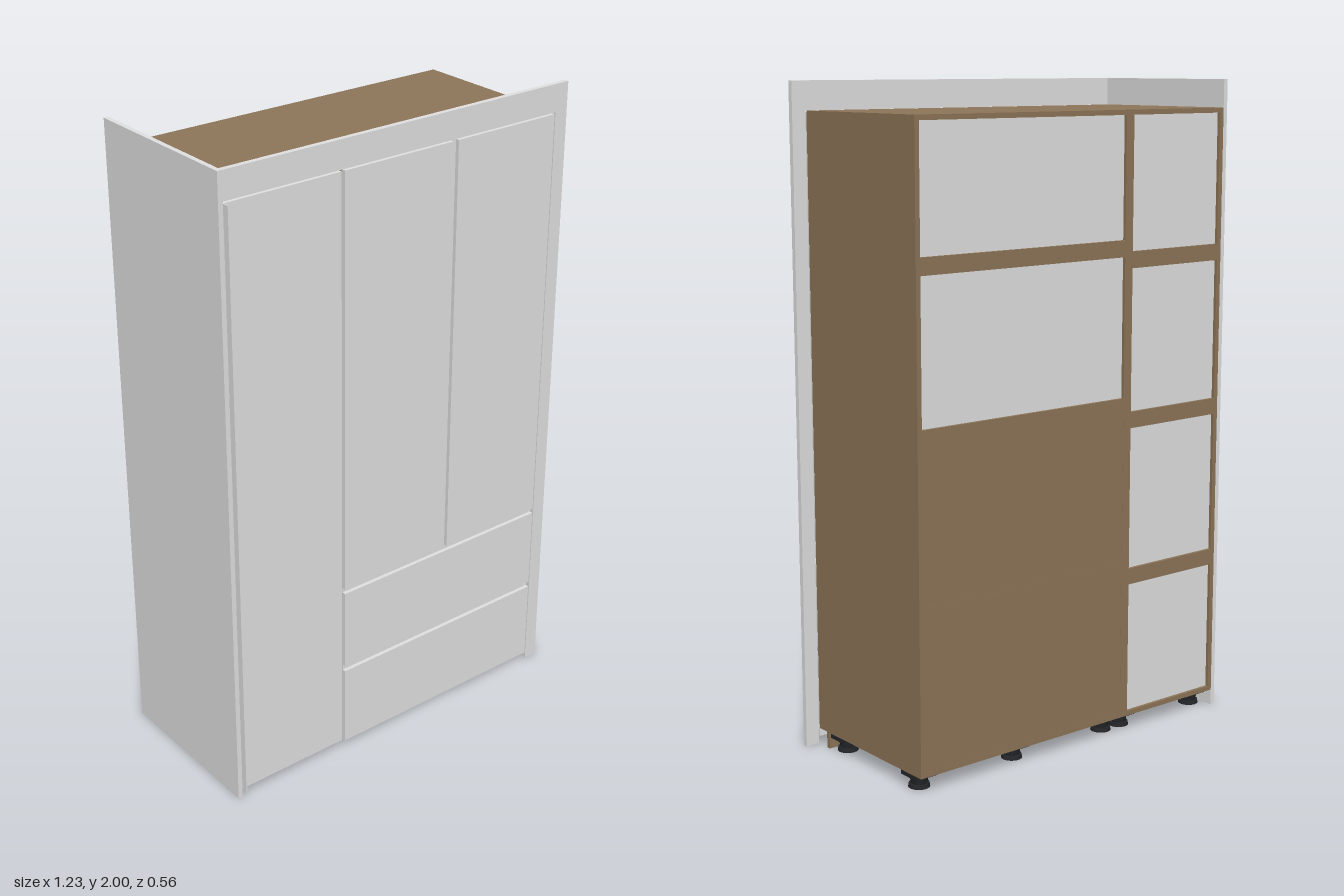
import * as THREE from 'three';

const material = (name, color) => {
  const m = new THREE.MeshStandardMaterial({ color });
  m.name = name;
  return m;
};

export function createModel() {
  const model = new THREE.Group();
  model.name = 'wardrobe';
  const white = material('white lacquer', 0xe3e3e3);
  const brown = material('brown board', 0x8f775a);
  const black = material('black plastic', 0x24272a);

  // Board given by its limits on each axis
  const board = (name, mat, [x0, x1], [y0, y1], [z0, z1], parent = model) => {
    const mesh = new THREE.Mesh(new THREE.BoxGeometry(x1 - x0, y1 - y0, z1 - z0), mat);
    mesh.position.set((x0 + x1) / 2, (y0 + y1) / 2, (z0 + z1) / 2);
    mesh.name = name;
    parent.add(mesh);
    return mesh;
  };

  const back = -0.281, front = 0.239, low = 0.05, high = 1.915, t = 0.015;
  const depth = [back, front];

  // Two carcasses: tall narrow one and wide one, with recessed back panels and back rails
  const carcass = (name, x0, x1, rails) => {
    const g = new THREE.Group();
    g.name = name;
    board('carcassSide', brown, [x0, x0 + t], [low, high], depth, g);
    board('carcassSide', brown, [x1 - t, x1], [low, high], depth, g);
    board('carcassTop', brown, [x0 + t, x1 - t], [high - t, high], depth, g);
    board('carcassBottom', brown, [x0 + t, x1 - t], [low, low + t], depth, g);
    board('backPanel', white, [x0 + t, x1 - t], [low + t, high - t], [back + 0.01, back + 0.016], g);
    for (const [y0, y1] of rails) {
      board('backRail', brown, [x0 + t, x1 - t], [y0, y1], [back, back + 0.01], g);
      board('shelf', brown, [x0 + t, x1 - t], [y1 - t, y1], [back + 0.016, front - 0.02], g);
    }
    model.add(g);
    return g;
  };
  carcass('tallCarcass', -0.6, -0.213, [[1.45, 1.5], [0.965, 1.015], [0.475, 0.525]]);
  const wide = carcass('wideCarcass', -0.213, 0.57, [[1.485, 1.535], [1.01, 1.06], [0.505, 0.55]]);

  // Closed lower back behind the drawers
  board('lowerBack', brown, [-0.198, 0.555], [low + t, 1.01], [back + 0.0005, back + 0.008], wide);

  // White surround
  const face = [0.244, 0.26];
  board('endPanel', white, [-0.615, -0.6], [0, 2], [back, 0.26]);
  board('topTrim', white, [-0.6, 0.57], [1.915, 2], face);
  board('sideFiller', white, [0.57, 0.615], [0, 2], face);

  // Doors and drawer fronts
  board('tallDoor', white, [-0.598, -0.217], [0.03, 1.91], face);
  board('middleDoor', white, [-0.205, 0.178], [0.585, 1.91], face);
  board('rightDoor', white, [0.198, 0.567], [0.585, 1.91], face);
  board('upperDrawer', white, [-0.205, 0.567], [0.307, 0.57], face);
  board('lowerDrawer', white, [-0.205, 0.567], [0.022, 0.287], face);
  board('doorEdgeStrip', white, [-0.6, -0.597], [0.03, 1.91], [0.26, 0.281]);

  // Recessed grip profiles filling the gaps
  const grip = [0.239, 0.248];
  board('doorGrip', white, [0.178, 0.198], [0.585, 1.91], grip);
  for (const y of [0.287, 0.57]) {
    board('drawerGrip', white, [-0.205, 0.562], [y, y + 0.02], grip);
  }

  // Plinth set back under the fronts
  board('plinth', brown, [-0.6, 0.57], [0, low], [0.185, 0.199]);

  // Adjustable feet
  for (const x of [-0.56, -0.25, -0.175, 0.185, 0.53]) {
    for (const z of [-0.217, 0.145]) {
      const foot = new THREE.Group();
      foot.name = 'foot';
      board('footPlate', black, [-0.037, 0.037], [0.035, 0.05], [-0.037, 0.037], foot);
      const stem = new THREE.Mesh(new THREE.CylinderGeometry(0.028, 0.024, 0.023, 20), black);
      stem.position.y = 0.0235;
      stem.name = 'footStem';
      const base = new THREE.Mesh(new THREE.CylinderGeometry(0.03, 0.032, 0.012, 20), black);
      base.position.y = 0.006;
      base.name = 'footBase';
      foot.add(stem, base);
      foot.position.set(x, 0, z);
      model.add(foot);
    }
  }
  return model;
}
